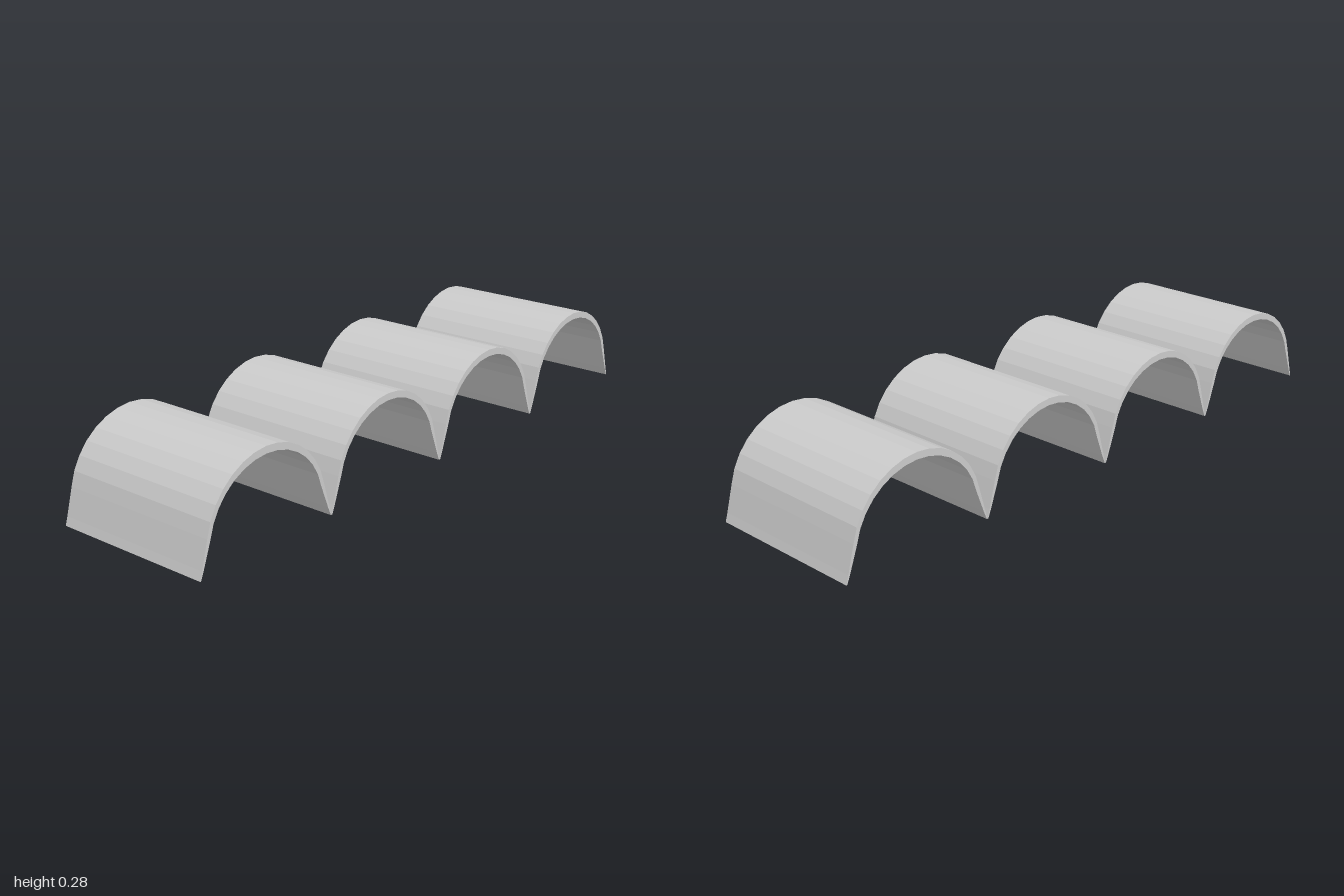
import * as THREE from 'three';

const SPAN = 0.5, DEPTH = 0.512, CENTRE_Y = 0.058, STEPS = 14;

// Half-ellipse running from the right shoulder over the crown to the left one
function crown(rx, ry) {
  const start = THREE.MathUtils.degToRad(12);
  return Array.from({ length: STEPS + 1 }, (_, i) => {
    const a = start + (Math.PI - 2 * start) * (i / STEPS);
    return new THREE.Vector2(rx * Math.cos(a), CENTRE_Y + ry * Math.sin(a));
  });
}

// Adds mirrored legs below both shoulders of a crown
function withLegs(points, legs) {
  const right = legs.map(([x, y]) => new THREE.Vector2(x, y));
  const left = legs.map(([x, y]) => new THREE.Vector2(-x, y)).reverse();
  return [...right, ...points, ...left];
}

export function createModel() {
  const group = new THREE.Group();
  group.name = 'archedRoof';
  const material = new THREE.MeshStandardMaterial({ color: 0xcccccc, flatShading: true });

  // Shell section: thick at the crown, tapering to thin feet
  const outer = withLegs(crown(0.225, 0.225), [[0.25, 0], [0.242, 0.026]]);
  const inner = withLegs(crown(0.213, 0.204), [[0.247, 0], [0.236, 0.026]]);
  const section = new THREE.Shape([...outer, ...inner.reverse()]);
  const geometry = new THREE.ExtrudeGeometry(section, { depth: DEPTH, bevelEnabled: false });
  geometry.translate(0, 0, -DEPTH / 2);

  // Row of four identical vaults
  for (let i = 0; i < 4; i++) {
    const vault = new THREE.Mesh(geometry, material);
    vault.name = `vault${i + 1}`;
    vault.position.x = (i - 1.5) * SPAN;
    group.add(vault);
  }
  return group;
}
